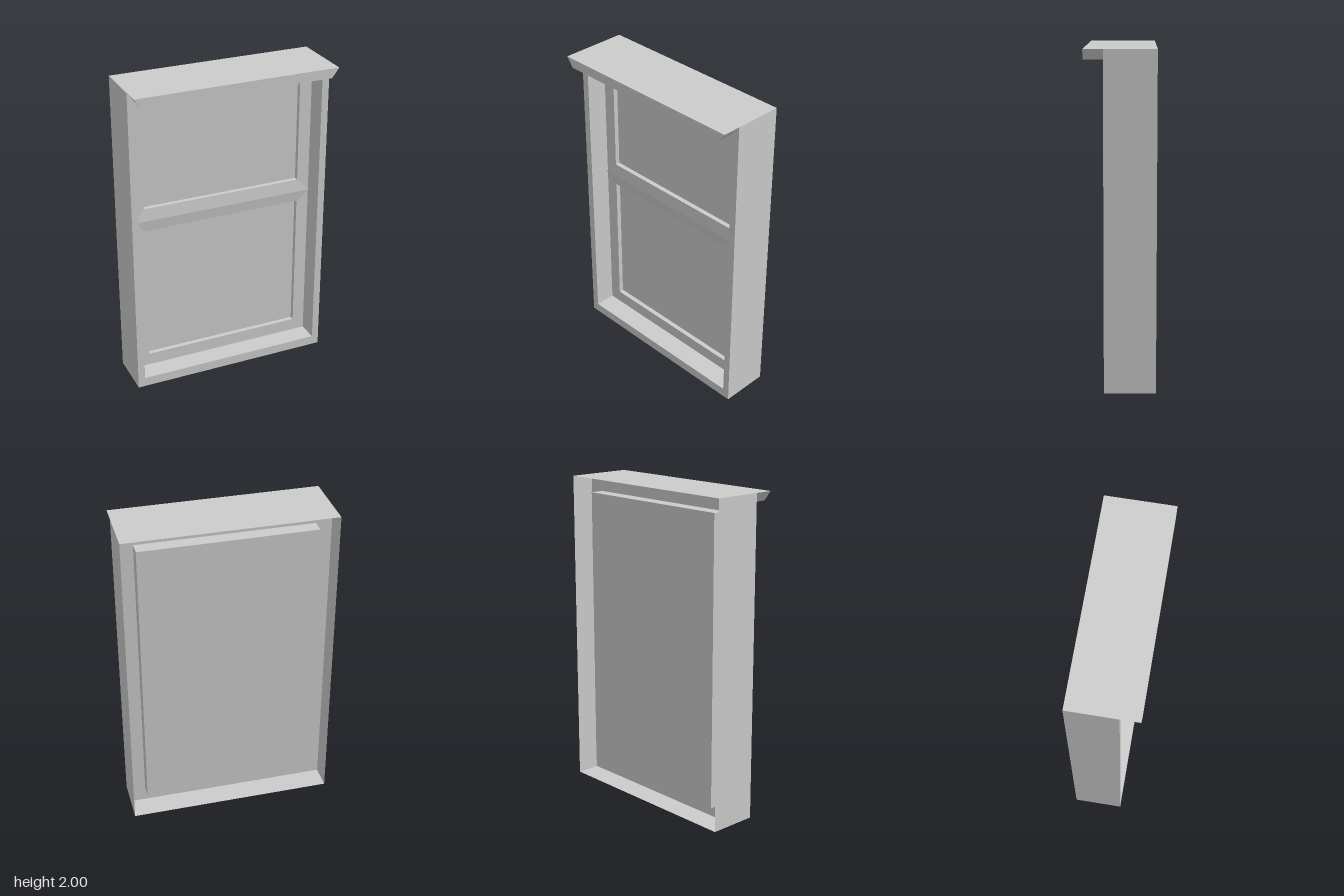
import * as THREE from 'three';

const material = new THREE.MeshStandardMaterial({ color: 0xcccccc, flatShading: true, side: THREE.DoubleSide });

function addMesh(parent, name, geometry) {
  const mesh = new THREE.Mesh(geometry, material);
  mesh.name = name;
  parent.add(mesh);
  return mesh;
}

function fromTriangles(points) {
  const g = new THREE.BufferGeometry();
  g.setAttribute('position', new THREE.Float32BufferAttribute(points.flat(), 3));
  g.computeVertexNormals();
  return g;
}

const quad = (a, b, c, d) => [a, b, c, a, c, d];

// Skin through rectangular sections, each { r: [half width, bottom, top], z }
function rectLoft(sections) {
  const loops = sections.map(({ r: [x, y0, y1], z }) =>
    [[-x, y0, z], [x, y0, z], [x, y1, z], [-x, y1, z]]);
  const tris = [];
  for (let s = 0; s < loops.length - 1; s++) {
    for (let i = 0; i < 4; i++) {
      const j = (i + 1) % 4;
      tris.push(...quad(loops[s][i], loops[s][j], loops[s + 1][j], loops[s + 1][i]));
    }
  }
  return fromTriangles(tris);
}

const rectPoints = ([x, y0, y1]) =>
  [[-x, y0], [x, y0], [x, y1], [-x, y1]].map(p => new THREE.Vector2(...p));

function flatPanel(r, z, holes = []) {
  const shape = new THREE.Shape(rectPoints(r));
  holes.forEach(h => shape.holes.push(new THREE.Path(rectPoints(h))));
  return new THREE.ShapeGeometry(shape).translate(0, 0, z);
}

export function createModel() {
  const model = new THREE.Group();
  model.name = 'window';

  const outer = [0.645, 0, 2];
  const inner = [0.6, 0.06, 1.94];
  const back = [0.545, 0.1, 1.9];
  const lower = [0.52, 0.14, 1.035];
  const upper = [0.52, 1.185, 1.86];
  const zBack = -0.21, zFront = 0.095, zSash = -0.04, zPane = -0.07, zRim = -0.06, zPanel = -0.145;

  // Outer casing with its front face and inner reveal
  addMesh(model, 'frame', rectLoft([
    { r: outer, z: zBack }, { r: outer, z: zFront },
    { r: inner, z: zFront }, { r: inner, z: zSash },
  ]));

  // Sash face with two recessed panes
  addMesh(model, 'sash', flatPanel(inner, zSash, [lower, upper]));
  for (const [name, r] of [['lower', lower], ['upper', upper]]) {
    addMesh(model, name + 'PaneReveal', rectLoft([{ r, z: zSash }, { r, z: zPane }]));
    addMesh(model, name + 'Pane', flatPanel(r, zPane));
  }

  // Shallow ridged rail between the panes
  const ridgeY = 1.105, ridgeZ = zSash + 0.01;
  const ridge = [[-0.6, ridgeY, ridgeZ], [0.6, ridgeY, ridgeZ]];
  const z = zSash + 0.001;
  addMesh(model, 'middleRail', fromTriangles([
    ...quad(ridge[0], ridge[1], [0.52, upper[1], z], [-0.52, upper[1], z]),
    ...quad([-0.52, lower[2], z], [0.52, lower[2], z], ridge[1], ridge[0]),
  ]));

  // Raised panel and rim on the back
  addMesh(model, 'backRim', rectLoft([
    { r: back, z: zPanel }, { r: back, z: zRim }, { r: outer, z: zRim },
  ]));
  const backPanel = addMesh(model, 'backPanel', new THREE.PlaneGeometry(2 * back[0], back[2] - back[1]));
  backPanel.position.set(0, (back[1] + back[2]) / 2, zPanel);
  backPanel.rotation.y = Math.PI;

  // Projecting hood with slanted ends
  const hood = new THREE.Shape([[-0.6, 1.94], [0.6, 1.94], [0.645, 2], [-0.645, 2]]
    .map(p => new THREE.Vector2(...p)));
  addMesh(model, 'hood', new THREE.ExtrudeGeometry(hood, { depth: 0.21 - zFront, bevelEnabled: false })
    .translate(0, 0, zFront));

  return model;
}
